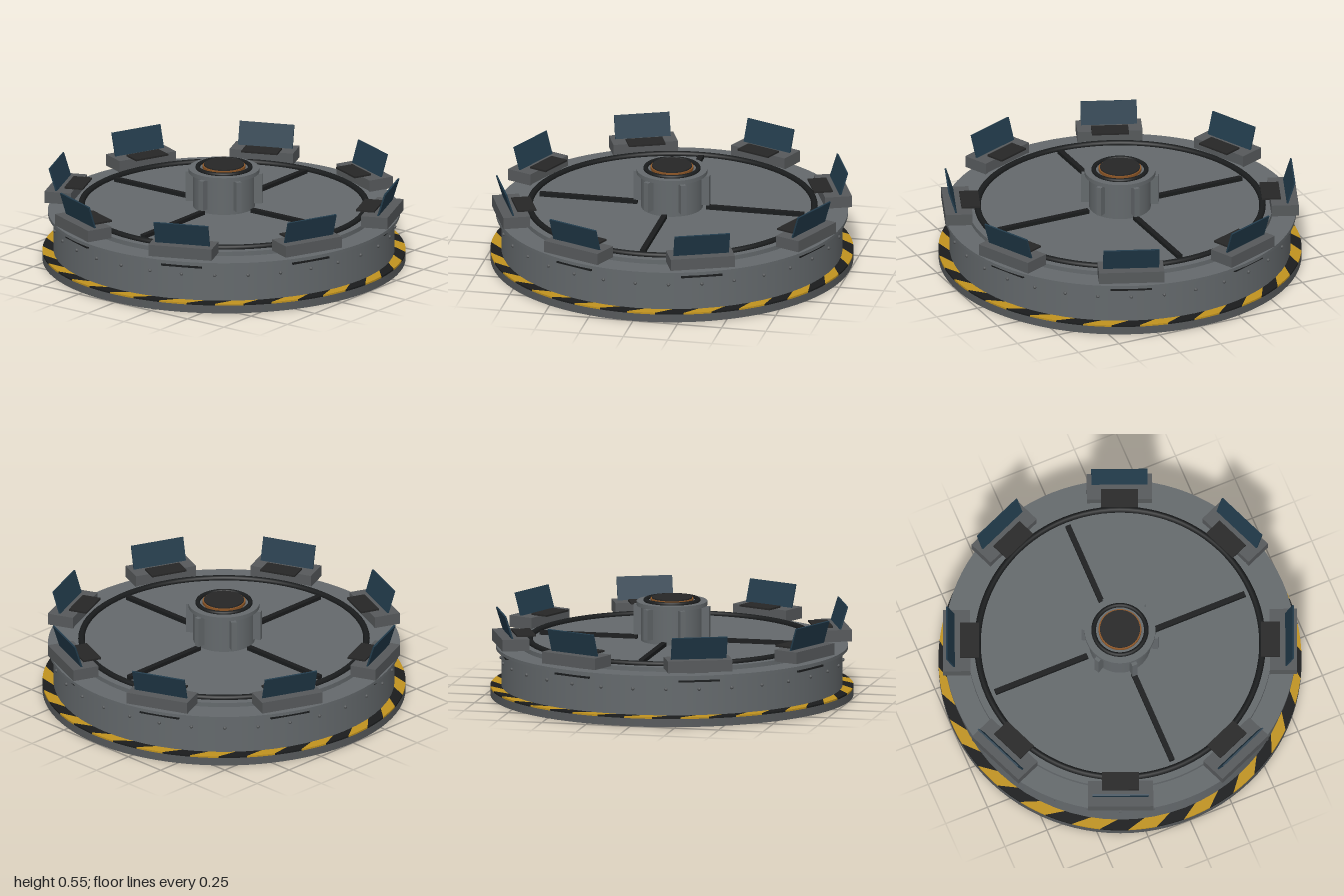
import * as THREE from 'three';

const mat = (name, color) => {
  const m = new THREE.MeshStandardMaterial({ color });
  m.name = name;
  return m;
};
const metal = mat('grey metal', 0x64696c);
const darkMetal = mat('dark grey metal', 0x56595b);
const black = mat('black trim', 0x1a1c1d);
const pad = mat('keypad black', 0x262626);
const yellow = mat('hazard yellow', 0xc0921f);
const glass = mat('dark blue screen', 0x213a4a);
const rust = mat('copper', 0x8a5425);

export function createModel() {
  const model = new THREE.Group();
  model.name = 'roundConsolePlatform';

  const add = (name, geo, material, x = 0, y = 0, z = 0, parent = model) => {
    const m = new THREE.Mesh(geo, material);
    m.name = name;
    m.position.set(x, y, z);
    parent.add(m);
    return m;
  };
  // Upright disc between two heights
  const disc = (name, r, y0, y1, material, n = 96) =>
    add(name, new THREE.CylinderGeometry(r, r, y1 - y0, n), material, 0, (y0 + y1) / 2, 0);
  const ring = (name, r, tube, y, material) =>
    add(name, new THREE.TorusGeometry(r, tube, 10, 96), material, 0, y, 0).rotateX(Math.PI / 2);
  // Pivot turned around y, so its +z points outwards at the given angle
  const spoke = (name, angle) => {
    const g = new THREE.Group();
    g.name = name;
    g.rotation.y = angle;
    model.add(g);
    return g;
  };

  // Stacked body
  disc('base', 1, 0, 0.045, darkMetal);
  disc('drum', 0.94, 0.04, 0.265, metal, 64);
  disc('lip', 0.97, 0.262, 0.28, metal);
  disc('deck', 0.84, 0.28, 0.305, metal);
  ring('deckRing', 0.785, 0.018, 0.31, black);

  // Slanted hazard stripes on the base ledge
  const deg = Math.PI / 180;
  const stripe = new THREE.Shape();
  for (let i = 0; i <= 10; i++) {
    const outer = i <= 5;
    const t = (outer ? i : 11 - i) / 5 - (outer ? 0 : 0.2 * (i === 11));
    const a = (outer ? -2 : 4) * deg + Math.min(t, 1) * 9 * deg;
    const r = outer ? 1 : 0.935;
    stripe[i ? 'lineTo' : 'moveTo'](r * Math.sin(a), -r * Math.cos(a));
  }
  stripe.lineTo(0.935 * Math.sin(4 * deg), -0.935 * Math.cos(4 * deg));
  const stripeGeo = new THREE.ExtrudeGeometry(stripe, { depth: 0.0095, bevelEnabled: false });
  stripeGeo.rotateX(-Math.PI / 2);
  for (let i = 0; i < 40; i++) {
    add('hazardStripe', stripeGeo, i % 2 ? black : yellow, 0, 0.045, 0).rotation.y = i * 9 * deg;
  }

  // Rivets around the drum
  const rivetGeo = new THREE.SphereGeometry(0.01, 10, 6);
  for (let i = 0; i < 32; i++) {
    add('rivet', rivetGeo, darkMetal, 0, 0.2, 0.941, spoke('rivetPivot', i * Math.PI / 16));
  }

  // Eight consoles, each with keypad, screen, support and drum vent
  for (let i = 0; i < 8; i++) {
    const g = spoke('console', (i + 0.5) * Math.PI / 4);
    add('consoleBody', new THREE.BoxGeometry(0.36, 0.065, 0.15), darkMetal, 0, 0.3325, 0.9, g);
    add('consoleSupport', new THREE.BoxGeometry(0.12, 0.022, 0.06), darkMetal, 0, 0.29, 0.86, g);
    add('keypad', new THREE.BoxGeometry(0.205, 0.01, 0.105), pad, 0, 0.37, 0.829, g);
    const screen = add('screen', new THREE.BoxGeometry(0.31, 0.135, 0.009), glass, 0, 0.426, 0.934, g);
    screen.rotation.x = 0.3;
    add('drumVent', new THREE.BoxGeometry(0.23, 0.01, 0.03), black, 0, 0.245, 0.93, g);
  }

  // Four floor bars
  for (let i = 0; i < 4; i++) {
    add('floorBar', new THREE.BoxGeometry(0.03, 0.025, 0.55), black, 0, 0.314, 0.47,
      spoke('floorBarPivot', i * Math.PI / 2));
  }

  // Central hub with six fins
  disc('hubColumn', 0.17, 0.3, 0.505, metal, 64);
  for (let i = 0; i < 6; i++) {
    add('hubFin', new THREE.BoxGeometry(0.03, 0.17, 0.05), metal, 0, 0.415, 0.188,
      spoke('hubFinPivot', Math.PI / 2 + i * Math.PI / 3));
  }
  disc('hubFlange', 0.195, 0.502, 0.525, metal, 64);
  ring('hubRing', 0.145, 0.013, 0.528, black);
  disc('hubCopperRing', 0.118, 0.525, 0.54, rust, 64);
  disc('hubCap', 0.11, 0.525, 0.547, pad, 64);

  return model;
}
